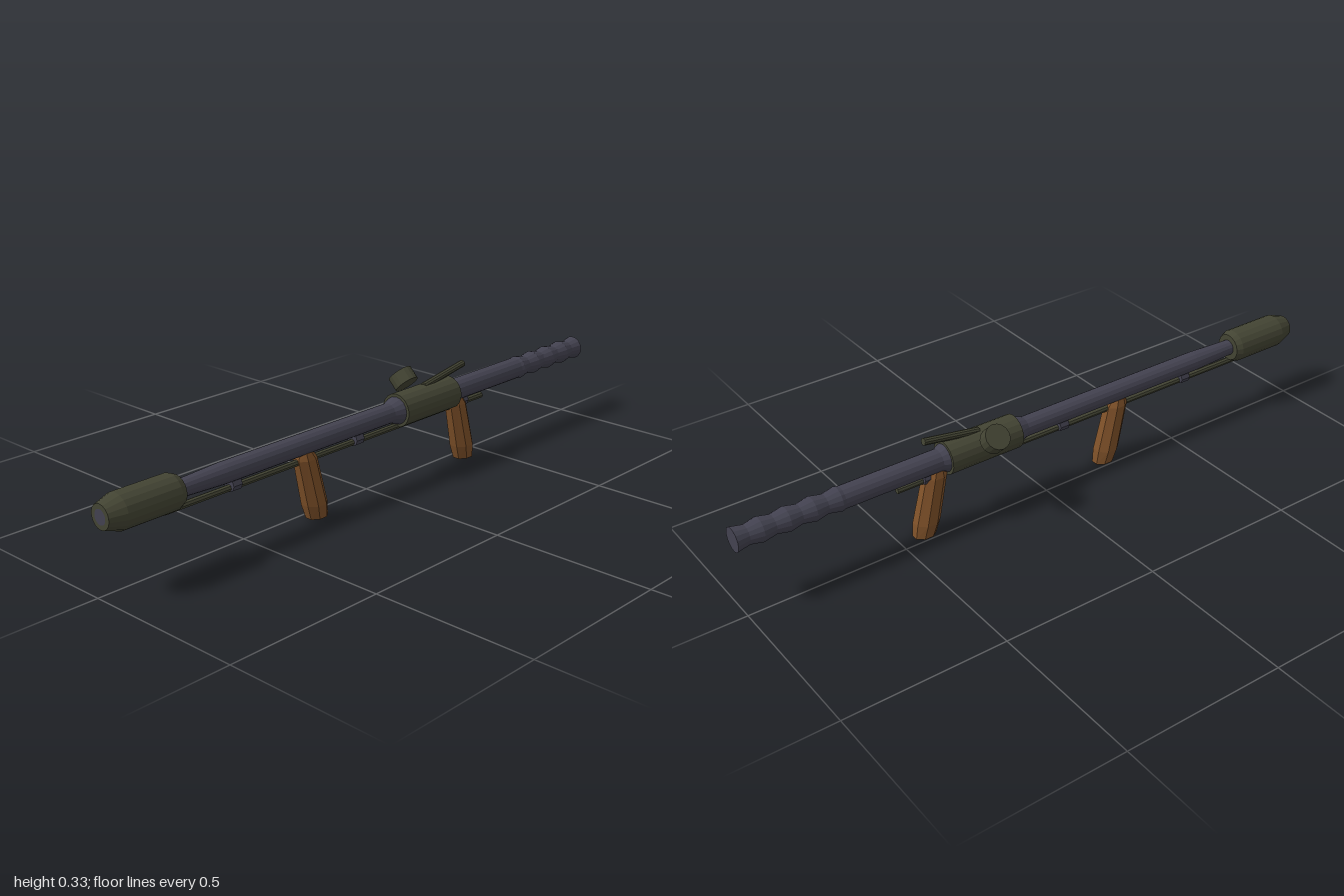
import * as THREE from 'three';

const AXIS_X = 0.033, AXIS_Y = 0.234;

export function createModel() {
  const model = new THREE.Group();
  model.name = 'shoulderLauncher';

  const mat = (name, color) => {
    const m = new THREE.MeshStandardMaterial({ color, flatShading: true });
    m.name = name;
    return m;
  };
  const olive = mat('olive', 0x434433);
  const steel = mat('blueSteel', 0x434250);
  const wood = mat('wood', 0x7f5129);

  const add = (name, geometry, material, x = 0, y = 0, z = 0) => {
    const mesh = new THREE.Mesh(geometry, material);
    mesh.name = name;
    mesh.position.set(x, y, z);
    model.add(mesh);
    return mesh;
  };

  // Turned part along z; profile is [radius, z] from back to front
  const turned = (profile, sides) =>
    new THREE.LatheGeometry(profile.map(([r, z]) => new THREE.Vector2(r, z)), sides).rotateX(Math.PI / 2);

  // Rod between two points
  const rod = (name, a, b, radius, sides, material) => {
    const from = new THREE.Vector3(...a), to = new THREE.Vector3(...b);
    const dir = to.clone().sub(from);
    const mesh = add(name, new THREE.CylinderGeometry(radius, radius, dir.length(), sides), material);
    mesh.position.copy(from).lerp(to, 0.5);
    mesh.quaternion.setFromUnitVectors(new THREE.Vector3(0, 1, 0), dir.normalize());
    return mesh;
  };

  // Main tube: rippled tail, plain rear, collars at the housing, slim nose
  const tube = [[0, -1]];
  for (let i = 0; i <= 16; i++) {
    const t = i / 4;
    tube.push([0.033 + 0.004 * Math.cos(t * Math.PI * 2), -1 + t * 0.0785]);
  }
  tube.push([0.034, -0.675], [0.034, -0.36], [0.043, -0.34], [0.043, -0.095],
    [0.031, -0.06], [0.031, 0.6], [0.025, 0.74], [0.025, 0.78], [0, 0.78]);
  add('mainTube', turned(tube, 16), steel, AXIS_X, AXIS_Y);

  // Central housing
  add('housing', turned([[0, -0.34], [0.052, -0.34], [0.052, -0.095], [0, -0.095]], 18), olive, AXIS_X, AXIS_Y);

  // Muzzle sleeve with its bore disc
  add('muzzleSleeve', turned([[0, 0.755], [0.043, 0.755], [0.052, 0.775], [0.052, 0.95],
    [0.036, 1], [0, 1]], 18), olive, AXIS_X, AXIS_Y);
  add('bore', new THREE.CircleGeometry(0.022, 18), steel, AXIS_X, AXIS_Y, 1.0005);

  // Under rod and its clamps
  rod('underRod', [AXIS_X, 0.185, -0.5], [AXIS_X, 0.185, 0.8], 0.01, 8, olive);
  for (const z of [0.56, 0.08, -0.4]) {
    add('rodClamp', new THREE.CylinderGeometry(0.02, 0.02, 0.032, 8).rotateX(Math.PI / 2), steel, AXIS_X, 0.193, z);
  }

  // Cocking lever and the side knob
  rod('lever', [AXIS_X, 0.281, -0.22], [AXIS_X, 0.312, -0.405], 0.011, 10, olive);
  const knob = add('sideKnob', new THREE.CylinderGeometry(0.039, 0.039, 0.042, 16), olive, -0.044, 0.289, -0.214);
  knob.rotation.z = Math.PI / 4;

  // Raked grips from elliptical sections: [y, halfWidth, halfDepth, zOffset]
  const sections = [[0, 0.027, 0.034, -0.044], [0.045, 0.034, 0.039, -0.034],
    [0.19, 0.029, 0.036, 0], [0.212, 0.022, 0.025, 0.005]];
  const gripGeometry = () => {
    const n = 8, pos = [], index = [];
    for (const [y, w, d, oz] of sections) {
      for (let i = 0; i < n; i++) {
        const a = (i + 0.5) / n * Math.PI * 2;
        pos.push(Math.sin(a) * w / Math.cos(Math.PI / n), y, oz + Math.cos(a) * d / Math.cos(Math.PI / n));
      }
    }
    const last = (sections.length - 1) * n;
    for (let s = 0; s < last; s += n) {
      for (let i = 0; i < n; i++) {
        const j = (i + 1) % n;
        index.push(s + i, s + j, s + n + j, s + i, s + n + j, s + n + i);
      }
    }
    for (let i = 1; i < n - 1; i++) {
      index.push(0, i + 1, i, last, last + i, last + i + 1);
    }
    const g = new THREE.BufferGeometry();
    g.setAttribute('position', new THREE.Float32BufferAttribute(pos, 3));
    g.setIndex(index);
    g.computeVertexNormals();
    return g;
  };
  add('frontGrip', gripGeometry(), wood, AXIS_X, 0, 0.289);
  add('rearGrip', gripGeometry(), wood, AXIS_X, 0, -0.374);

  return model;
}
